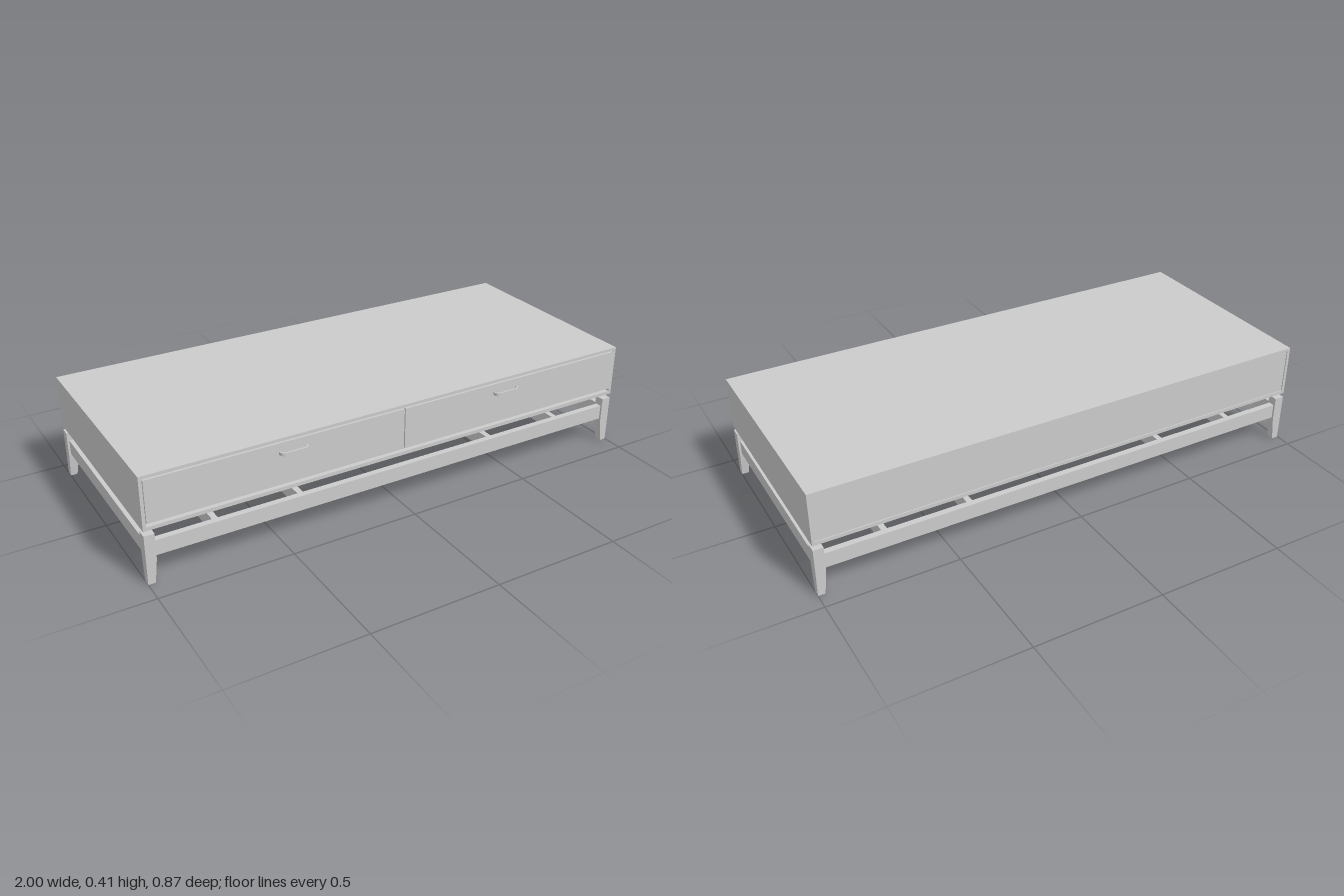
import * as THREE from 'three';

const material = new THREE.MeshStandardMaterial({ color: 0xcccccc, flatShading: true });

export function createModel() {
  const model = new THREE.Group();
  const add = (name, geometry, parent = model) => {
    const mesh = new THREE.Mesh(geometry, material);
    mesh.name = name;
    parent.add(mesh);
    return mesh;
  };
  // Box given by its extents on each axis
  const box = (name, [x0, x1], [y0, y1], [z0, z1], parent) => {
    const mesh = add(name, new THREE.BoxGeometry(x1 - x0, y1 - y0, z1 - z0), parent);
    mesh.position.set((x0 + x1) / 2, (y0 + y1) / 2, (z0 + z1) / 2);
    return mesh;
  };

  const back = -0.437, front = 0.415, bottom = 0.208, top = 0.412;
  const midZ = (front + back) / 2;

  // Cabinet case
  const cabinet = new THREE.Group();
  cabinet.name = 'cabinet';
  model.add(cabinet);
  box('topPanel', [-1, 1], [0.4, top], [back, front], cabinet);
  box('bottomPanel', [-1, 1], [bottom, 0.222], [back, front], cabinet);
  box('backPanel', [-0.988, 0.988], [0.222, 0.4], [back + 0.004, back + 0.016], cabinet);
  box('innerFront', [-0.988, 0.988], [0.222, 0.4], [front - 0.03, front - 0.02], cabinet);
  for (const s of [-1, 1]) {
    const xs = s < 0 ? [-1, -0.988] : [0.988, 1];
    box('sidePanel', xs, [0.222, 0.4], [back, front], cabinet);
  }

  // Bowed pull seen from above, extruded upwards
  const pull = new THREE.Shape();
  pull.moveTo(-0.055, 0);
  pull.quadraticCurveTo(-0.053, 0.02, -0.036, 0.02);
  pull.lineTo(0.036, 0.02);
  pull.quadraticCurveTo(0.053, 0.02, 0.055, 0);
  pull.lineTo(0.049, 0);
  pull.quadraticCurveTo(0.047, 0.014, 0.035, 0.014);
  pull.lineTo(-0.035, 0.014);
  pull.quadraticCurveTo(-0.047, 0.014, -0.049, 0);
  const pullGeometry = new THREE.ExtrudeGeometry(pull, { depth: 0.012, bevelEnabled: false, curveSegments: 6 });
  pullGeometry.rotateX(Math.PI / 2);

  // Drawer fronts with handles
  for (const s of [-1, 1]) {
    const xs = s < 0 ? [-0.986, -0.002] : [0.002, 0.986];
    box('drawerFront', xs, [0.235, 0.396], [front - 0.02, front + 0.002]);
    add('drawerHandle', pullGeometry).position.set(s * 0.45, 0.364, front + 0.002);
  }

  // Legs: outer faces upright, inner faces tapering to the foot
  const legTop = 0.19, legWidth = 0.038;
  for (const sx of [-1, 1]) for (const sz of [-1, 1]) {
    const geometry = new THREE.BoxGeometry(legWidth, legTop, legWidth, 1, 8, 1);
    const p = geometry.attributes.position;
    for (let i = 0; i < p.count; i++) {
      const y = p.getY(i) + legTop / 2;
      const taper = 0.012 * Math.pow(Math.max(0, 1 - y / 0.1), 1.2);
      if (p.getX(i) * sx < 0) p.setX(i, p.getX(i) + sx * taper);
      if (p.getZ(i) * sz < 0) p.setZ(i, p.getZ(i) + sz * taper);
    }
    geometry.computeVertexNormals();
    add('leg', geometry).position.set(
      sx * (1 - legWidth / 2), legTop / 2, midZ + sz * ((front - back) / 2 - legWidth / 2));
  }

  // Frame rails between the legs
  const railY = [0.1, 0.158];
  box('frontRail', [-0.962, 0.962], railY, [front - 0.032, front - 0.008]);
  box('backRail', [-0.962, 0.962], railY, [back + 0.008, back + 0.032]);
  box('leftRail', [0.968, 0.992], railY, [back + legWidth, front - legWidth]);
  box('rightRail', [-0.992, -0.968], railY, [back + legWidth, front - legWidth]);

  // Cross beams with scooped shoulders rising to carry the cabinet
  const beam = new THREE.Shape();
  const end = (front - back) / 2 - 0.032;
  beam.moveTo(-end, 0.1);
  beam.lineTo(end, 0.1);
  beam.lineTo(end, 0.158);
  beam.lineTo(0.338, 0.158);
  beam.quadraticCurveTo(0.29, 0.172, 0.253, bottom);
  beam.lineTo(-0.253, bottom);
  beam.quadraticCurveTo(-0.29, 0.172, -0.338, 0.158);
  beam.lineTo(-end, 0.158);
  const beamGeometry = new THREE.ExtrudeGeometry(beam, { depth: 0.022, bevelEnabled: false, curveSegments: 6 });
  beamGeometry.translate(0, 0, -0.011);
  beamGeometry.rotateY(Math.PI / 2);
  for (const x of [-0.737, -0.411, 0.411, 0.737]) {
    add('crossBeam', beamGeometry).position.set(x, 0, midZ);
  }

  return model;
}
